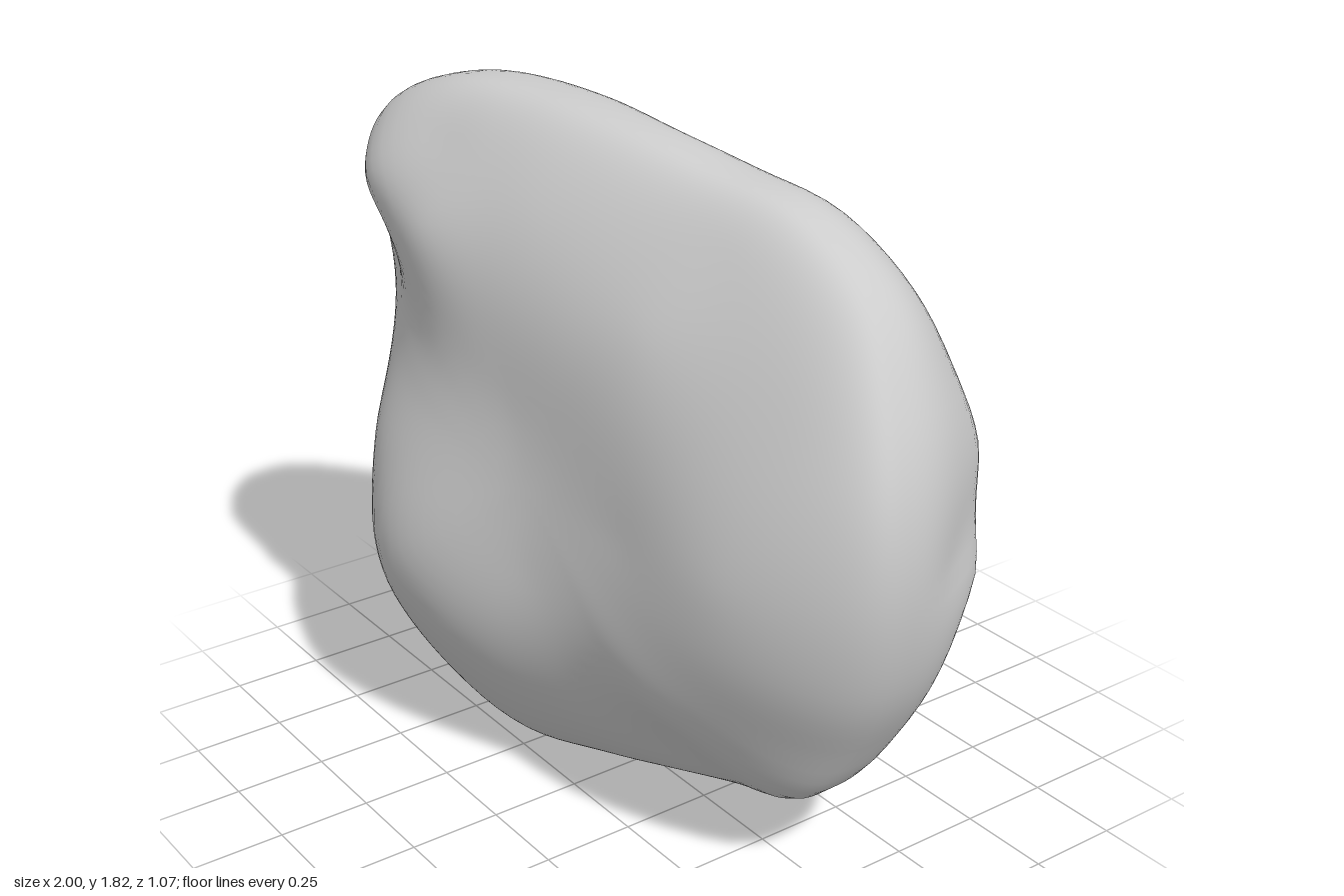
import * as THREE from 'three';
import { mergeVertices } from 'three/addons/utils/BufferGeometryUtils.js';

const CENTER = { x: -0.02, y: 0.92 };
const POWER = 2.5; // roundness of the edges, 2 = ellipse
const SEGMENTS = 120, RINGS = 64;

// Rim of the boulder, counter-clockwise: x, y, z
const RIM = [
  [1, 0.92, 0], [0.98, 1.15, 0], [0.9, 1.35, -0.04], [0.75, 1.55, -0.1],
  [0.5, 1.7, -0.1], [0.25, 1.75, -0.05], [0, 1.8, 0], [-0.3, 1.83, 0.05],
  [-0.62, 1.82, 0.1], [-0.87, 1.72, 0.1], [-0.96, 1.59, 0.08], [-1, 1.4, 0.06],
  [-0.96, 1.15, 0.06], [-0.92, 0.8, 0.06], [-0.91, 0.4, 0.07], [-0.83, 0.2, 0.08],
  [-0.5, 0.04, 0.09], [-0.27, 0.01, 0.09], [0, 0.05, 0.03], [0.3, 0.13, 0.01],
  [0.52, 0.2, 0], [0.71, 0.26, -0.02], [0.85, 0.45, -0.05], [0.95, 0.65, -0.03],
];

// Bumps and hollows of the two broad faces: x, y, z
const FRONT = [
  [-0.5, 0.6, 0.515], [-0.28, 0.42, 0.45], [-0.35, 0.2, 0.34], [-0.65, 0.3, 0.36],
  [-0.8, 0.55, 0.33], [-0.63, 0.9, 0.43], [-0.82, 1, 0.27], [-0.78, 1.36, 0.26],
  [-0.73, 1.57, 0.37], [-0.45, 1.5, 0.39], [-0.5, 1.7, 0.27], [-0.5, 1.22, 0.37],
  [-0.1, 1.6, 0.26], [-0.1, 1.1, 0.35], [0, 0.7, 0.37], [0.1, 0.25, 0.24],
  [0.3, 0.9, 0.3], [0.3, 1.4, 0.22], [0.4, 1.6, 0.07], [0.65, 0.9, 0.28],
  [0.68, 1.3, 0.14], [0.85, 1, 0.19], [0.7, 0.5, 0.19], [0.4, 0.45, 0.27],
  [0.86, 0.7, 0.17], [0.38, 0.25, 0.13],
];
const BACK = [
  [-0.52, 1.36, -0.5], [-0.25, 1.38, -0.51], [0, 1.33, -0.51], [0.25, 1.32, -0.51],
  [0.55, 1.28, -0.47], [0.78, 1.12, -0.43], [0.87, 0.85, -0.36], [0.94, 0.92, -0.19],
  [0.7, 0.75, -0.4], [0.6, 0.46, -0.34], [0.36, 0.43, -0.31], [0.17, 0.24, -0.23],
  [0.35, 0.75, -0.38], [0.1, 1.05, -0.43], [-0.2, 0.8, -0.37], [-0.15, 0.45, -0.33],
  [-0.54, 1, -0.455], [-0.55, 0.6, -0.39], [-0.43, 0.24, -0.32], [-0.16, 0.17, -0.2],
  [-0.25, 0.06, -0.15], [-0.72, 0.33, -0.23], [-0.74, 0.85, -0.18], [-0.75, 1.15, -0.21],
  [-0.68, 1.45, -0.33], [-0.85, 1.4, -0.18], [-0.65, 1.62, -0.22], [-0.3, 1.58, -0.37],
  [0.2, 1.58, -0.35], [0, 1.7, -0.2], [0.65, 1.48, -0.33],
];

const rim = new THREE.CatmullRomCurve3(RIM.map((p) => new THREE.Vector3(...p)), true, 'centripetal')
  .getSpacedPoints(SEGMENTS);

// Rim point lying in the same direction from the centre
function rimToward(x, y) {
  const angle = Math.atan2(y - CENTER.y, x - CENTER.x);
  let best = rim[0], least = -2;
  for (const p of rim) {
    const match = Math.cos(Math.atan2(p.y - CENTER.y, p.x - CENTER.x) - angle);
    if (match > least) { least = match; best = p; }
  }
  return best;
}

// Allow for the edge rounding, so the finished face passes through each sample
function undoRounding([x, y, z]) {
  const r = rimToward(x, y);
  const s = Math.hypot(x - CENTER.x, y - CENTER.y) / Math.hypot(r.x - CENTER.x, r.y - CENTER.y);
  const round = Math.pow(Math.max(0, 1 - Math.pow(s, POWER)), 1 / POWER);
  const base = r.z * s * s;
  return [x, y, base + (z - base) / Math.max(0.42, round)];
}

// Thin-plate spline through the samples, returned as a height function
function smoothSheet(samples) {
  const bend = (dx, dy) => {
    const d2 = dx * dx + dy * dy;
    return d2 < 1e-12 ? 0 : 0.5 * d2 * Math.log(d2);
  };
  const n = samples.length, size = n + 3;
  const rows = samples.map(([x, y, z], i) => [
    ...samples.map(([px, py], j) => (i === j ? 0.004 : bend(x - px, y - py))), 1, x, y, z,
  ]);
  rows.push([...samples.map(() => 1), 0, 0, 0, 0]);
  rows.push([...samples.map((p) => p[0]), 0, 0, 0, 0]);
  rows.push([...samples.map((p) => p[1]), 0, 0, 0, 0]);

  for (let c = 0; c < size; c++) {
    let pivot = c;
    for (let r = c + 1; r < size; r++) if (Math.abs(rows[r][c]) > Math.abs(rows[pivot][c])) pivot = r;
    [rows[c], rows[pivot]] = [rows[pivot], rows[c]];
    for (let r = 0; r < size; r++) {
      if (r === c) continue;
      const k = rows[r][c] / rows[c][c];
      for (let m = c; m <= size; m++) rows[r][m] -= k * rows[c][m];
    }
  }
  const w = rows.map((row, i) => row[size] / row[i]);
  return (x, y) => samples.reduce(
    (sum, [px, py], i) => sum + w[i] * bend(x - px, y - py),
    w[n] + w[n + 1] * x + w[n + 2] * y,
  );
}

function boulderGeometry() {
  const front = smoothSheet(FRONT.map(undoRounding));
  const back = smoothSheet(BACK.map(undoRounding));
  const positions = [], indices = [];

  // Rings run from the middle of the front, over the rim, to the middle of the back
  for (let i = 0; i <= RINGS; i++) {
    const phi = (i / RINGS) * Math.PI;
    const s = i === 0 || i === RINGS ? 0 : Math.pow(Math.sin(phi), 2 / POWER);
    const round = i === RINGS / 2 ? 0 : Math.pow(Math.abs(Math.cos(phi)), 2 / POWER);
    const sheet = i <= RINGS / 2 ? front : back;
    for (let j = 0; j < SEGMENTS; j++) {
      const r = rim[j];
      const x = CENTER.x + (r.x - CENTER.x) * s;
      const y = CENTER.y + (r.y - CENTER.y) * s;
      // the rim's own z fades out toward the middle of the face
      const base = r.z * s * s;
      positions.push(x, y, base + (sheet(x, y) - base) * round);
    }
  }
  for (let i = 0; i < RINGS; i++) {
    for (let j = 0; j < SEGMENTS; j++) {
      const k = (j + 1) % SEGMENTS;
      const a = i * SEGMENTS + j, b = i * SEGMENTS + k;
      const c = a + SEGMENTS, d = b + SEGMENTS;
      if (i < RINGS - 1) indices.push(a, c, d);
      if (i > 0) indices.push(a, d, b);
    }
  }

  let geometry = new THREE.BufferGeometry();
  geometry.setAttribute('position', new THREE.Float32BufferAttribute(positions, 3));
  geometry.setIndex(indices);
  geometry = mergeVertices(geometry, 1e-5);
  geometry.computeBoundingBox();
  const { min, max } = geometry.boundingBox;
  geometry.translate(-(min.x + max.x) / 2, -min.y, -(min.z + max.z) / 2);
  geometry.computeVertexNormals();
  return geometry;
}

export function createModel() {
  const group = new THREE.Group();
  const boulder = new THREE.Mesh(boulderGeometry(), new THREE.MeshStandardMaterial({ color: 0xcccccc }));
  boulder.name = 'boulder';
  group.add(boulder);
  return group;
}
